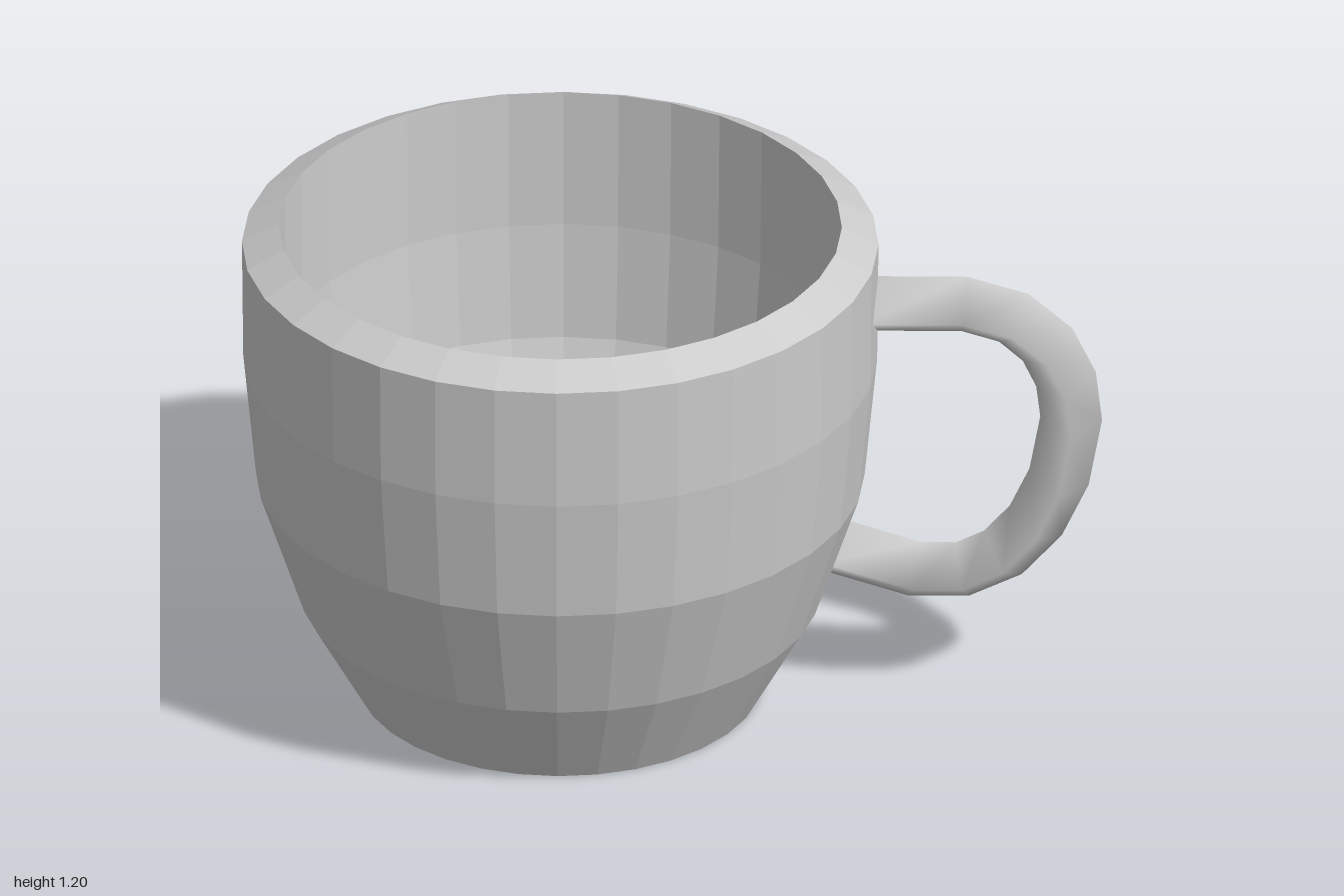
import * as THREE from 'three';

const CUP_X = -0.26;

// Sweeps a diamond section along a path in the xy plane, with smooth normals.
function sweepDiamond(path, halfHeight, halfWidth) {
  const sides = 4;
  const positions = [];
  const indices = [];
  path.forEach((p, i) => {
    const before = path[Math.max(i - 1, 0)];
    const after = path[Math.min(i + 1, path.length - 1)];
    const tangent = after.clone().sub(before).normalize();
    for (let k = 0; k < sides; k++) {
      const a = (k / sides) * Math.PI * 2;
      const h = Math.cos(a) * halfHeight;
      positions.push(p.x - tangent.y * h, p.y + tangent.x * h, Math.sin(a) * halfWidth);
      if (i < path.length - 1) {
        const a0 = i * sides + k;
        const a1 = i * sides + ((k + 1) % sides);
        indices.push(a0, a1, a0 + sides, a1, a1 + sides, a0 + sides);
      }
    }
  });
  const geometry = new THREE.BufferGeometry();
  geometry.setAttribute('position', new THREE.Float32BufferAttribute(positions, 3));
  geometry.setIndex(indices);
  geometry.computeVertexNormals();
  return geometry;
}

const toPoints = (pairs) => pairs.map(([x, y]) => new THREE.Vector2(x, y));

export function createModel() {
  const group = new THREE.Group();
  group.name = 'cup';

  // Cup body: base, outer wall, bevelled rim, inner wall and floor
  const profile = toPoints([
    [0, 0], [0.47, 0], [0.605, 0.24], [0.708, 0.55], [0.737, 0.855], [0.74, 1.155],
    [0.655, 1.2], [0.65, 0.855], [0.625, 0.57], [0.53, 0.28], [0.45, 0.13], [0, 0.13],
  ]);
  const body = new THREE.Mesh(
    new THREE.LatheGeometry(profile, 32),
    new THREE.MeshStandardMaterial({ color: 0xcccccc, flatShading: true })
  );
  body.name = 'body';
  body.position.x = CUP_X;
  group.add(body);

  // Handle: from the upper wall, around, and back into the lower wall
  const path = toPoints([
    [0.44, 1.0], [0.68, 1.0], [0.795, 0.964], [0.873, 0.894], [0.916, 0.803], [0.928, 0.7],
    [0.9, 0.546], [0.846, 0.43], [0.77, 0.345], [0.675, 0.3], [0.563, 0.3], [0.35, 0.37],
  ]);
  const handle = new THREE.Mesh(
    sweepDiamond(path, 0.072, 0.105),
    new THREE.MeshStandardMaterial({ color: 0xcccccc, side: THREE.DoubleSide })
  );
  handle.name = 'handle';
  group.add(handle);

  return group;
}
